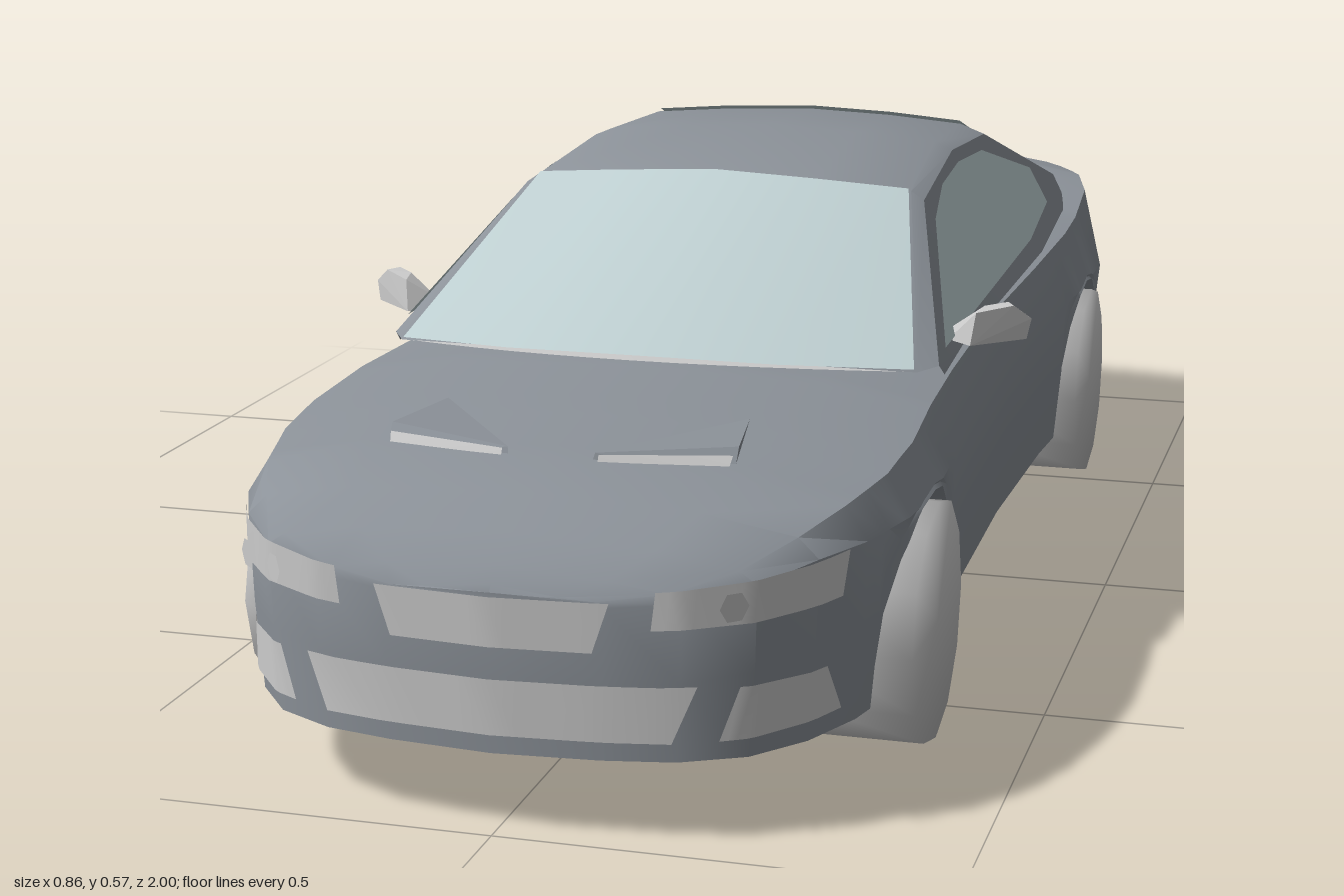
import * as THREE from 'three';
import { toCreasedNormals, mergeVertices } from 'three/addons/utils/BufferGeometryUtils.js';
import { ConvexGeometry } from 'three/addons/geometries/ConvexGeometry.js';

const grey = new THREE.MeshStandardMaterial({ color: 0xcccccc, side: THREE.DoubleSide });
const paint = new THREE.MeshStandardMaterial({ color: 0x8c9299, side: THREE.DoubleSide });
const glass = new THREE.MeshStandardMaterial({ color: 0xbfd0d2, side: THREE.DoubleSide });

// Tables along the length, front to back: [z, value]
const WIDTH = [[0.995, 0], [0.985, 0.12], [0.97, 0.2], [0.935, 0.27], [0.875, 0.32], [0.8, 0.355], [0.7, 0.38],
  [0.6, 0.387], [0.3, 0.372], [0, 0.365], [-0.3, 0.372], [-0.5, 0.385], [-0.69, 0.385], [-0.8, 0.345],
  [-0.87, 0.315], [-0.93, 0.28], [-0.975, 0.2], [-0.985, 0.14], [-0.995, 0]];
const TOP = [[0.995, 0.26], [0.97, 0.287], [0.935, 0.312], [0.875, 0.338], [0.8, 0.356], [0.65, 0.372], [0.47, 0.386],
  [-0.3, 0.39], [-0.6, 0.41], [-0.74, 0.45], [-0.97, 0.424], [-0.995, 0.42]];
const FLOOR = [[0.995, 0.09], [-0.6, 0.09], [-0.715, 0.107], [-0.98, 0.134]];
const AXLES = [0.603, -0.555];
const ARCH = 0.16;

function lookup(table, z) {
  for (let i = 1; i < table.length; i++) {
    const [za, a] = table[i - 1], [zb, b] = table[i];
    if (z >= zb) return THREE.MathUtils.lerp(a, b, Math.max(0, (za - z) / (za - zb)));
  }
  return table[table.length - 1][1];
}

// z of the front (end = 1) or rear (end = -1) face at a given x
function faceZ(x, end) {
  const t = end > 0 ? WIDTH : [...WIDTH].reverse();
  for (let i = 1; i < t.length; i++) {
    const [za, a] = t[i - 1], [zb, b] = t[i];
    if (Math.abs(x) <= b) return THREE.MathUtils.lerp(za, zb, (Math.abs(x) - a) / (b - a));
  }
  return t[7][0];
}

// Surface through rows of points
function surface(rows, crease = 0.6) {
  const n = rows[0].length, index = [];
  for (let i = 0; i + 1 < rows.length; i++) {
    for (let j = 0; j + 1 < n; j++) {
      const a = i * n + j;
      index.push(a, a + n, a + 1, a + 1, a + n, a + n + 1);
    }
  }
  const g = new THREE.BufferGeometry();
  g.setAttribute('position', new THREE.Float32BufferAttribute(rows.flat(2), 3));
  g.setIndex(index);
  return toCreasedNormals(g, crease);
}

const mirrorRow = half => [...half, ...half.slice(0, -1).reverse().map(([x, y, z]) => [-x, y, z])];

// Half section of the lower body, from floor centre to top centre
function bodySection(z) {
  const w = lookup(WIDTH, z), top = lookup(TOP, z), floor = lookup(FLOOR, z);
  let sill = floor;
  for (const c of AXLES) {
    const d = Math.abs(z - c);
    if (d <= ARCH + 1e-6) sill = 0.133 + Math.sqrt(Math.max(0, ARCH * ARCH - d * d));
  }
  const drop = 0.03 * Math.min(1, w / 0.37);
  const crease = Math.max(Math.min(0.29, top - 1.6 * drop), sill + 0.008);
  const inner = Math.min(0.25, 0.9 * w);
  const sillX = w * (0.965 + 0.035 * Math.min(1, (sill - floor) / 0.2));
  return mirrorRow([[0, floor, z], [inner, floor, z], [inner, sill, z], [sillX, sill, z],
    [w * 0.99, (sill + crease) / 2, z], [w, crease, z], [w * 0.93, Math.max(top - drop, crease + 0.005), z],
    [w * 0.6, top - 0.008, z], [0, top, z]]);
}

function bodyGeometry() {
  const zs = WIDTH.concat(TOP, FLOOR).map(p => p[0]);
  for (const c of AXLES) {
    for (let i = 0; i <= 8; i++) zs.push(c + ARCH * Math.cos(i * Math.PI / 8));
    zs.push(c + ARCH + 0.002, c - ARCH - 0.002);
  }
  const stations = [...new Set(zs)].sort((a, b) => b - a);
  return surface(stations.map(bodySection), 0.65);
}

// Cabin rows, each from beltline over the rail and glass corner to the centre
const CABIN = [
  [[0.348, 0.365, 0.36], [0.345, 0.38, 0.38], [0.325, 0.378, 0.41], [0.17, 0.386, 0.46], [0, 0.39, 0.475]],
  [[0.348, 0.375, 0.25], [0.267, 0.526, 0.1], [0.25, 0.537, 0.1], [0.13, 0.548, 0.12], [0, 0.555, 0.125]],
  [[0.348, 0.375, -0.1], [0.254, 0.55, -0.15], [0.23, 0.56, -0.15], [0.12, 0.569, -0.15], [0, 0.575, -0.15]],
  [[0.348, 0.375, -0.35], [0.259, 0.54, -0.36], [0.225, 0.553, -0.36], [0.12, 0.56, -0.37], [0, 0.564, -0.375]],
  [[0.335, 0.39, -0.66], [0.31, 0.43, -0.68], [0.25, 0.44, -0.7], [0.14, 0.451, -0.735], [0, 0.455, -0.75]],
];

// Pane laid just above the cabin between two rows
function pane(r0, r1, dz) {
  return surface([r0, r1].map(r => mirrorRow(CABIN[r].slice(2)).map(([x, y, z]) => [x * 0.99, y + 0.004, z + dz])));
}

function sideWindow(side) {
  const outline = [[0.34, 0.393], [0.11, 0.505], [0, 0.53], [-0.13, 0.538], [-0.28, 0.53], [-0.5, 0.47], [-0.5, 0.42], [-0.3, 0.402]];
  const g = new THREE.ShapeGeometry(new THREE.Shape(outline.map(p => new THREE.Vector2(...p))));
  const p = g.attributes.position;
  for (let i = 0; i < p.count; i++) {
    const z = p.getX(i), y = p.getY(i);
    p.setXYZ(i, side * (0.341 - (y - 0.4) * 0.54), y, z);
  }
  g.computeVertexNormals();
  return g;
}

// Panel that follows the front or rear face; low and high are [x, y] edge lines of two points
function facePanel(low, high, end, k = 1, steps = 12) {
  return surface([low, high].map(([a, b]) => Array.from({ length: steps + 1 }, (_, i) => {
    const x = THREE.MathUtils.lerp(a[0], b[0], i / steps);
    return [x, THREE.MathUtils.lerp(a[1], b[1], i / steps), faceZ(x / k, end) + end * 0.006];
  })));
}

const hull = pts => new ConvexGeometry(pts.map(p => new THREE.Vector3(...p)));

export function createModel() {
  const car = new THREE.Group();
  car.name = 'car';
  const add = (name, geometry, material = grey) => {
    const m = new THREE.Mesh(geometry, material);
    m.name = name;
    car.add(m);
    return m;
  };

  // Shell and glass
  add('body', bodyGeometry(), paint);
  add('cabin', surface(CABIN.map(mirrorRow), 0.5), paint);
  add('windshield', pane(0, 1, 0.004), glass);
  add('rearWindow', pane(3, 4, -0.004), glass);

  // Cowl crescent at the foot of the windshield
  const cowl = [0, 1].map(r => Array.from({ length: 13 }, (_, i) => {
    const t = i / 6 - 1;
    return [t * 0.31, 0.393 - 0.014 * t * t, 0.5 - 0.085 * t * t - r * 0.03 * (1 - t * t)];
  }));
  add('cowl', surface(cowl));

  // Grilles
  add('upperGrille', facePanel([[-0.11, 0.208], [0.11, 0.208]], [[-0.128, 0.262], [0.128, 0.262]], 1));
  add('lowerGrille', facePanel([[-0.19, 0.112], [0.19, 0.112]], [[-0.215, 0.173], [0.215, 0.173]], 1, 0.985));

  for (const s of [1, -1]) {
    const side = s > 0 ? 'left' : 'right';
    add(side + 'Window', sideWindow(s), glass);

    // Lamps
    add(side + 'Headlight', facePanel([[s * 0.17, 0.234], [s * 0.338, 0.242]], [[s * 0.175, 0.275], [s * 0.343, 0.29]], 1));
    for (const x of [0.245, 0.292]) {
      const lens = add(side + 'HeadlightLens', new THREE.CircleGeometry(0.017, 6));
      lens.position.set(s * (x + 0.008), 0.26, faceZ(x, 1) + 0.014);
      lens.rotation.y = s * 0.75;
    }
    add(side + 'FogLight', facePanel([[s * 0.235, 0.112], [s * 0.335, 0.115]], [[s * 0.255, 0.17], [s * 0.325, 0.168]], 1, 0.98));
    add(side + 'TailLight', facePanel([[s * 0.2, 0.33], [s * 0.335, 0.32]], [[s * 0.18, 0.388], [s * 0.33, 0.388]], -1, 0.97));

    // Exhaust tip
    const tip = add(side + 'Exhaust', new THREE.BoxGeometry(0.08, 0.028, 0.06));
    tip.position.set(s * 0.2, 0.14, -0.965);
    tip.rotation.y = s * 0.25;

    // Hood scoop: raised wedge with a pale opening
    add(side + 'HoodScoop', hull([[s * 0.2, 0.33, 0.78], [s * 0.045, 0.34, 0.8], [s * 0.2, 0.369, 0.75],
      [s * 0.05, 0.362, 0.79], [s * 0.18, 0.368, 0.63], [s * 0.15, 0.34, 0.63]]), paint);
    add(side + 'ScoopOpening', surface([[[s * 0.055, 0.346, 0.802], [s * 0.192, 0.336, 0.783]],
      [[s * 0.055, 0.361, 0.794], [s * 0.197, 0.362, 0.763]]]));

    // Door mirror
    add(side + 'Mirror', hull([[s * 0.335, 0.388, 0.275], [s * 0.335, 0.4, 0.265], [s * 0.365, 0.385, 0.29], [s * 0.37, 0.424, 0.28],
      [s * 0.365, 0.386, 0.25], [s * 0.375, 0.427, 0.25], [s * 0.41, 0.428, 0.245], [s * 0.4, 0.428, 0.225],
      [s * 0.43, 0.41, 0.23], [s * 0.425, 0.385, 0.235], [s * 0.42, 0.386, 0.22]]));

    // Wheels with softly shaded rims
    AXLES.forEach((z, i) => {
      let g = new THREE.CylinderGeometry(0.14, 0.14, 0.122, 12);
      g.deleteAttribute('normal');
      g.deleteAttribute('uv');
      g = mergeVertices(g);
      g.computeVertexNormals();
      const wheel = add(side + (i ? 'RearWheel' : 'FrontWheel'), g);
      wheel.rotation.z = Math.PI / 2;
      wheel.position.set(s * 0.331, 0.14, z);
    });
  }
  return car;
}
